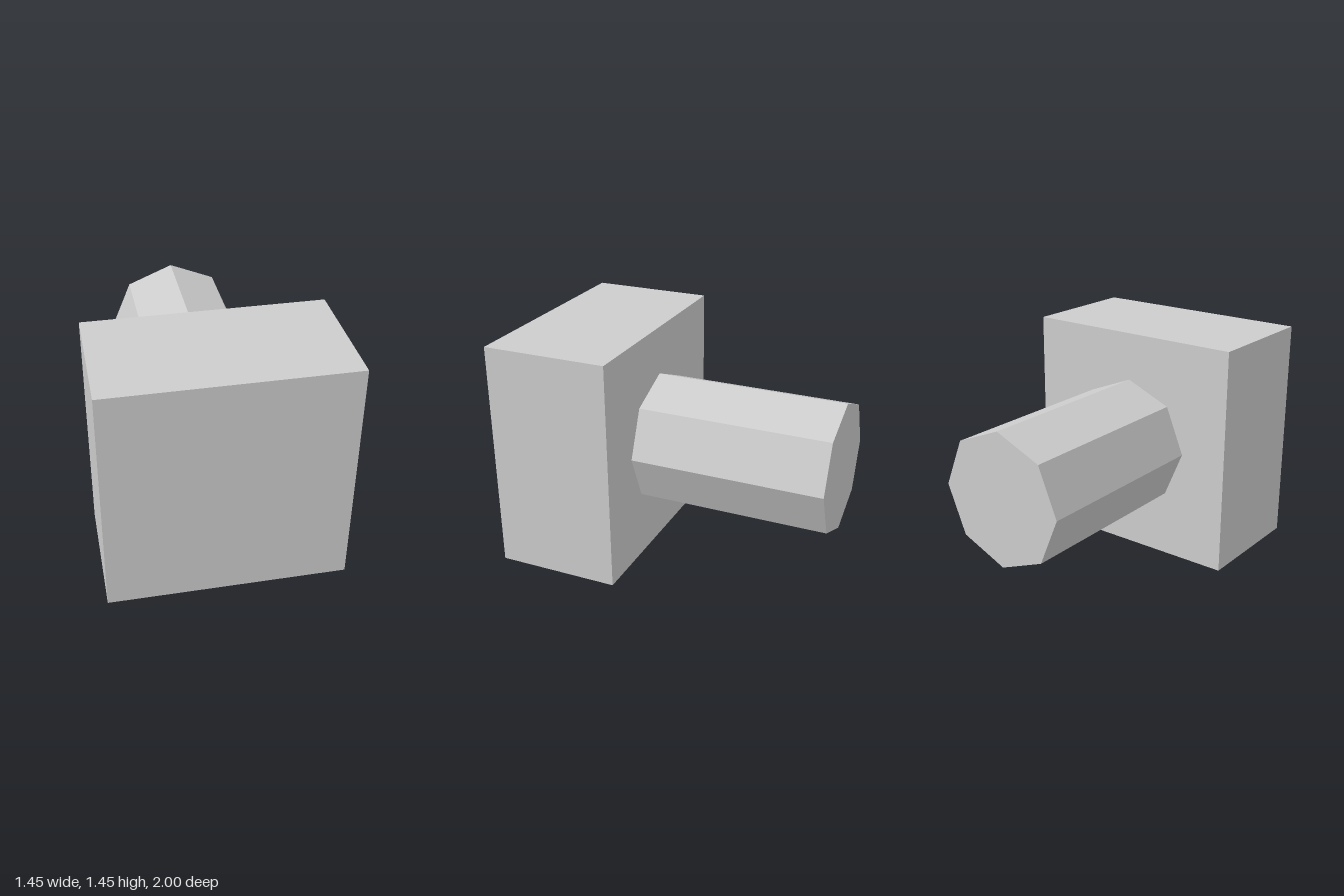
import * as THREE from 'three';

export function createModel() {
  const group = new THREE.Group();
  const grey = new THREE.MeshStandardMaterial({ color: 0xcccccc, flatShading: true });
  grey.name = 'light grey';

  const size = 1.45;       // width and height of the head
  const joint = 0.215;     // z where the shaft meets the head

  // Square block at the front
  const head = new THREE.Mesh(new THREE.BoxGeometry(size, size, 1 - joint), grey);
  head.name = 'head';
  head.position.set(0, size / 2, (1 + joint) / 2);

  // Octagonal shaft running to the back, corners on the axes
  const shaftGeometry = new THREE.CylinderGeometry(0.42, 0.42, 1 + joint, 8);
  shaftGeometry.rotateX(Math.PI / 2);
  const shaft = new THREE.Mesh(shaftGeometry, grey);
  shaft.name = 'shaft';
  shaft.position.set(0, size / 2, (joint - 1) / 2);

  group.add(head, shaft);
  return group;
}
